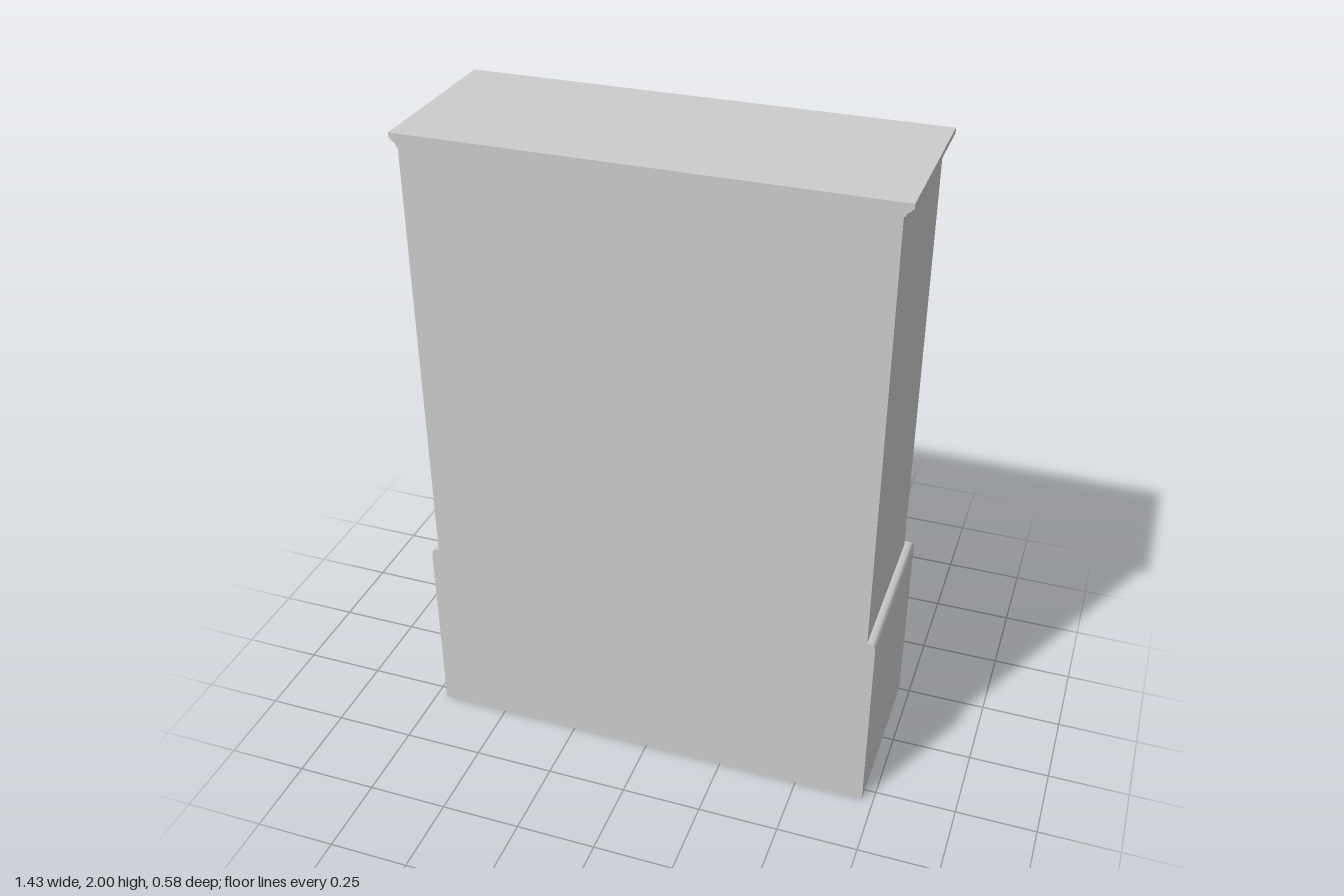
import * as THREE from 'three';
import { toCreasedNormals } from 'three/addons/utils/BufferGeometryUtils.js';

const BACK = 0.29;
const mat = new THREE.MeshStandardMaterial({ color: 0xcccccc });

function add(parent, name, geometry, x = 0, y = 0, z = 0) {
  const mesh = new THREE.Mesh(geometry, mat);
  mesh.name = name;
  mesh.position.set(x, y, z);
  parent.add(mesh);
  return mesh;
}

// Solid with a flat back whose moulded profile [offset, y] runs round both sides and the doors' side
function mouldedSolid(halfWidth, front, profile) {
  const rings = profile.map(([o, y]) => {
    const w = halfWidth + o, f = front - o;
    return [[-w, y, f], [-w, y, BACK], [w, y, BACK], [w, y, f]];
  });
  const pos = [];
  const quad = (a, b, c, d) => pos.push(...a, ...b, ...c, ...a, ...c, ...d);
  for (let j = 0; j < rings.length - 1; j++) {
    for (let i = 0; i < 4; i++) {
      const k = (i + 1) % 4;
      quad(rings[j][i], rings[j][k], rings[j + 1][k], rings[j + 1][i]);
    }
  }
  quad(...rings[rings.length - 1]);
  quad(...[...rings[0]].reverse());
  const geometry = new THREE.BufferGeometry();
  geometry.setAttribute('position', new THREE.Float32BufferAttribute(pos, 3));
  return toCreasedNormals(geometry, 0.6);
}

// Door leaf with an arched opening that leaves a recessed panel
function doorGeometry(w, h, depth) {
  const shape = new THREE.Shape();
  shape.moveTo(-w / 2, 0).lineTo(w / 2, 0).lineTo(w / 2, h).lineTo(-w / 2, h).closePath();
  const r = 0.217, bottom = 0.12, spring = 0.9;
  const arch = new THREE.Path();
  arch.moveTo(-r, bottom).lineTo(r, bottom).lineTo(r, spring);
  arch.absarc(0, spring, r, 0, Math.PI, false);
  arch.lineTo(-r, bottom);
  shape.holes.push(arch);
  return toCreasedNormals(
    new THREE.ExtrudeGeometry(shape, { depth, bevelEnabled: false, curveSegments: 16 }), 0.5);
}

// Mushroom knob, turned on a lathe and pointing towards -z
function knobGeometry() {
  const profile = [[0.011, 0], [0.008, 0.004], [0.007, 0.01], [0.016, 0.013],
    [0.018, 0.017], [0.015, 0.021], [0.008, 0.024], [0, 0.025]];
  const geometry = new THREE.LatheGeometry(profile.map(p => new THREE.Vector2(...p)), 16);
  return geometry.rotateX(-Math.PI / 2);
}

export function createModel() {
  const group = new THREE.Group();
  group.name = 'wardrobe';
  const knob = knobGeometry();

  // Base chest with rounded top edge
  const baseProfile = [[0, 0], [0, 0.598]];
  for (let i = 1; i <= 5; i++) {
    const a = (i / 5) * Math.PI / 2;
    baseProfile.push([-0.02 * (1 - Math.cos(a)), 0.598 + 0.02 * Math.sin(a)]);
  }
  add(group, 'baseChest', mouldedSolid(0.715, -0.255, baseProfile));

  // Upper cabinet
  add(group, 'upperCabinet', mouldedSolid(0.69, -0.22, [[0, 0.61], [0, 1.97]]));

  // Cornice with a cove between two fillets
  add(group, 'cornice', mouldedSolid(0.69, -0.22, [[0, 1.962], [0.005, 1.962], [0.006, 1.968],
    [0.009, 1.973], [0.015, 1.977], [0.019, 1.978], [0.019, 1.984], [0.025, 1.984], [0.025, 2]]));

  // Doors, drawers and knobs, mirrored
  const door = doorGeometry(0.61, 1.25, 0.011);
  const drawer = new THREE.BoxGeometry(0.605, 0.174, 0.016);
  for (const side of [1, -1]) {
    const label = side > 0 ? 'left' : 'right';
    add(group, label + 'Door', door, side * 0.328, 0.67, -0.23);
    add(group, label + 'DoorKnob', knob, side * 0.073, 1.26, -0.229);
    for (const [level, y] of [['Lower', 0.26], ['Upper', 0.45]]) {
      add(group, label + level + 'Drawer', drawer, side * 0.3525, y, -0.259);
      for (const x of [0.205, 0.515]) {
        add(group, label + level + 'DrawerKnob', knob, side * x, y, -0.266);
      }
    }
  }
  return group;
}
